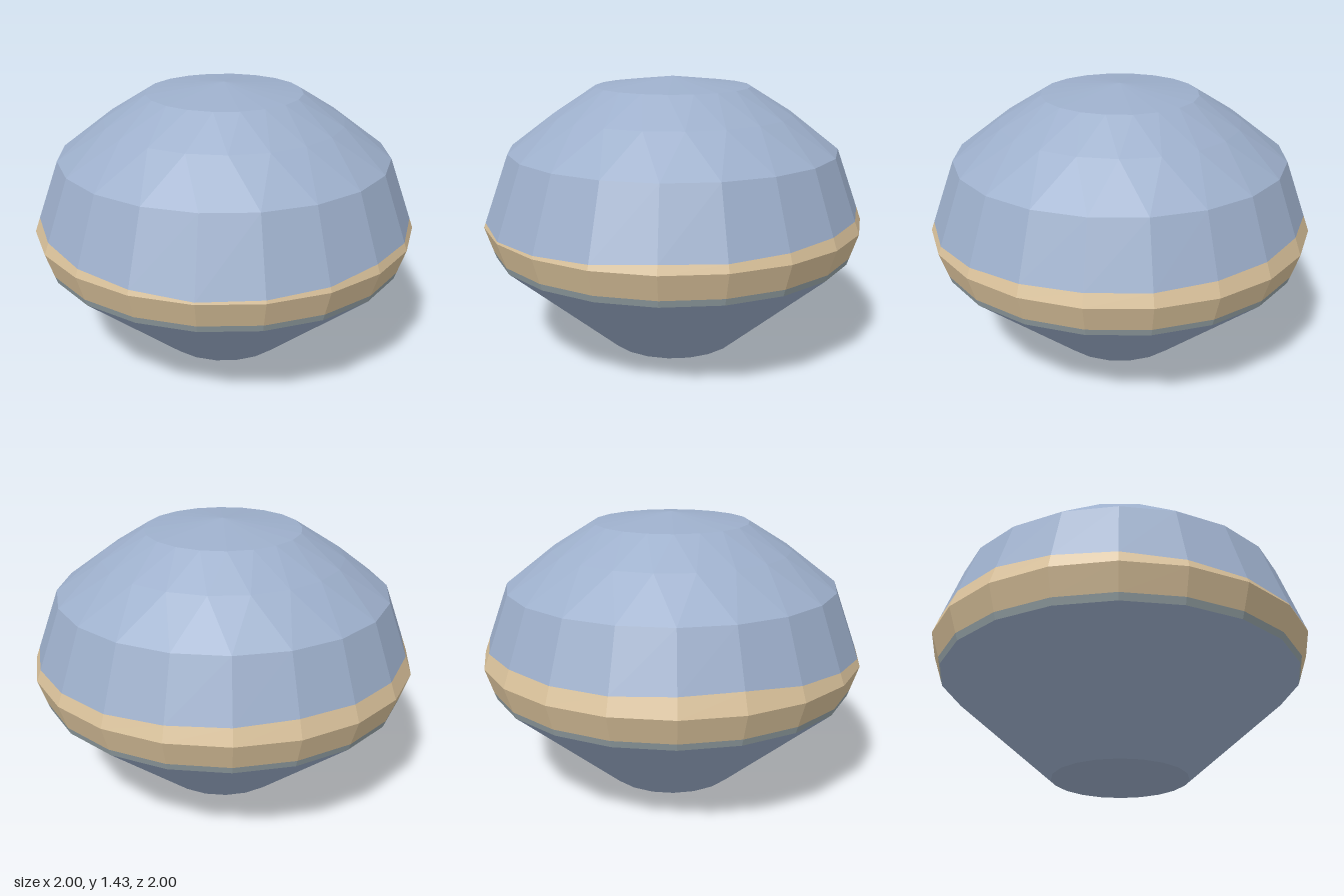
import * as THREE from 'three';

const SIDES = 20;
const STEP = (Math.PI * 2) / SIDES;
const OFFSET = 0.047;

// Heights of the uneven upper edge of the tan band, clockwise from the back
const EDGE = [0.765, 0.765, 0.77, 0.76, 0.755, 0.745, 0.745, 0.74, 0.73, 0.72,
  0.725, 0.705, 0.695, 0.69, 0.705, 0.72, 0.74, 0.755, 0.78, 0.775];

// One ring of points; twist is counted in steps
function ring(radius, height, twist = 0) {
  return Array.from({ length: SIDES }, (_, i) => {
    const a = (i + twist) * STEP + OFFSET;
    const y = typeof height === 'function' ? height(i) : height;
    const r = typeof radius === 'function' ? radius(y) : radius;
    return [r * Math.sin(a), y, -r * Math.cos(a)];
  });
}

// Faceted skin through rings listed from bottom to top
function skin(name, rings, material) {
  const pos = [];
  for (let k = 0; k < rings.length - 1; k++) {
    const low = rings[k], up = rings[k + 1];
    for (let i = 0; i < SIDES; i++) {
      const j = (i + 1) % SIDES;
      pos.push(...low[j], ...low[i], ...up[i]);
      pos.push(...low[j], ...up[i], ...up[j]);
    }
  }
  const geometry = new THREE.BufferGeometry();
  geometry.setAttribute('position', new THREE.Float32BufferAttribute(pos, 3));
  geometry.computeVertexNormals();
  const mesh = new THREE.Mesh(geometry, material);
  mesh.name = name;
  return mesh;
}

export function createModel() {
  const blue = new THREE.MeshStandardMaterial({ color: 0x9dafcb });
  blue.name = 'slateBlue';
  const tan = new THREE.MeshStandardMaterial({ color: 0xdac29b });
  tan.name = 'sandTan';
  const grey = new THREE.MeshStandardMaterial({ color: 0x98a5a9 });
  grey.name = 'greyGreen';

  const wallRadius = (y) => 1 - (y - 0.68) * 0.36;
  const edge = ring(wallRadius, (i) => EDGE[i]);
  const rim = ring(0.945, 0.515);
  const bandBottom = ring(0.957, 0.55);

  const model = new THREE.Group();
  model.name = 'facetedBody';
  model.add(
    // Tapered underside with a flat foot
    skin('taperedBase', [ring(0.35, 0), rim], blue),
    // Thin border and the tan band around the widest part
    skin('lowerBorder', [rim, bandBottom], grey),
    skin('band', [bandBottom, ring(1, 0.68), edge], tan),
    // Faceted dome
    skin('dome', [edge, ring(0.865, 1.055), ring(0.625, 1.24, 0.5), ring(0.405, 1.38, 1)], blue),
  );

  // Shallow cap closing the dome
  const capGeometry = new THREE.ConeGeometry(0.405, 0.05, SIDES, 1, true).toNonIndexed();
  capGeometry.rotateY(-OFFSET);
  capGeometry.computeVertexNormals();
  const cap = new THREE.Mesh(capGeometry, blue);
  cap.name = 'domeCap';
  cap.position.y = 1.405;
  model.add(cap);

  // Flat foot
  const foot = new THREE.Mesh(new THREE.CircleGeometry(0.35, SIDES), blue);
  foot.name = 'foot';
  foot.rotation.set(Math.PI / 2, 0, OFFSET);
  model.add(foot);

  return model;
}
